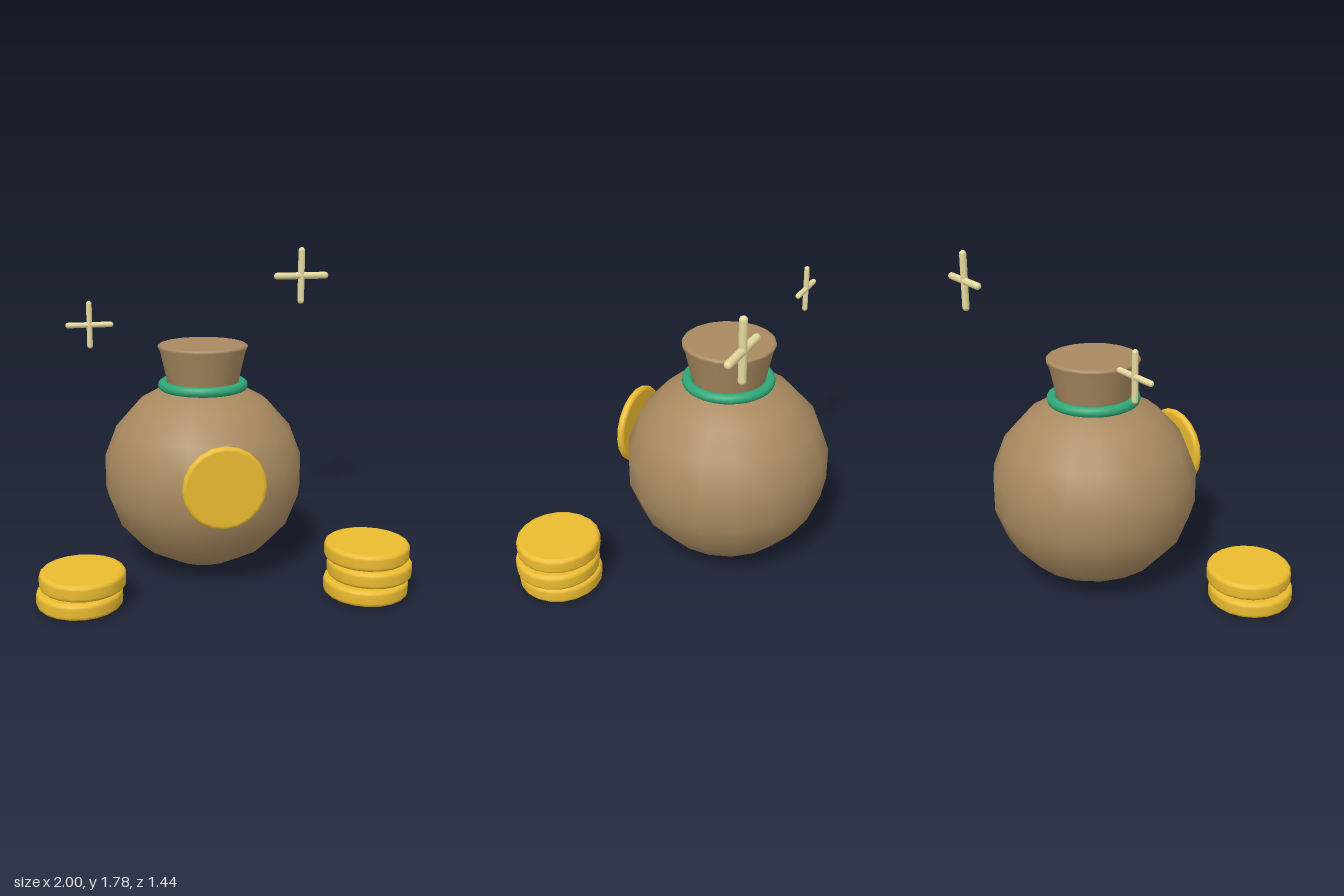
import * as THREE from 'three';

const material = (color) => new THREE.MeshStandardMaterial({ color });
const cloth = material(0xa98a60);
const ribbon = material(0x2fa878);
const gold = material(0xeabb30);
const glow = material(0xe8dca0);

function add(parent, name, geometry, mat, x = 0, y = 0, z = 0) {
  const mesh = new THREE.Mesh(geometry, mat);
  mesh.name = name;
  mesh.position.set(x, y, z);
  parent.add(mesh);
  return mesh;
}

const lathe = (points, sides) =>
  new THREE.LatheGeometry(points.map(([r, y]) => new THREE.Vector2(r, y)), sides);

// Disc with a rounded rim, centred on its own middle
function coinGeometry(radius, thickness, bevel) {
  const h = thickness / 2;
  const points = [[0, -h], [radius - bevel * 1.1, -h]];
  for (const side of [-1, 1]) {
    for (let i = 0; i <= 3; i++) {
      const a = (side < 0 ? i - 3 : i) * Math.PI / 6;
      points.push([radius - bevel + Math.cos(a) * bevel, side * (h - bevel) + Math.sin(a) * bevel]);
    }
  }
  points.push([radius - bevel * 1.1, h], [0, h]);
  return lathe(points, 20);
}

// Pile of coins, alternately shifted sideways
function coinStack(name, z, xs) {
  const stack = new THREE.Group();
  stack.name = name;
  const geometry = coinGeometry(0.228, 0.088, 0.022);
  xs.forEach((x, i) => add(stack, 'coin' + (i + 1), geometry, gold, x, 0.06 + i * 0.099, z));
  return stack;
}

// Two crossed rods with round ends
function sparkle(name, half, radius, x, y, z) {
  const group = new THREE.Group();
  group.name = name;
  group.position.set(x, y, z);
  const rod = new THREE.CapsuleGeometry(radius, 2 * (half - radius), 4, 8);
  add(group, 'uprightRod', rod, glow);
  add(group, 'crossRod', rod, glow).rotation.z = Math.PI / 2;
  return group;
}

export function createModel() {
  const model = new THREE.Group();
  model.name = 'moneyBag';

  // Bag
  const bag = new THREE.Group();
  bag.name = 'bag';
  bag.position.set(-0.01, 0, -0.16);
  model.add(bag);

  const body = new THREE.SphereGeometry(0.57, 18, 9);
  body.rotateY(Math.PI / 2);
  body.scale(1, 0.95, 1);
  add(bag, 'sack', body, cloth, 0, 0.549, 0);

  const neck = [[0.185, 1.0], [0.24, 1.245], [0.254, 1.272], [0.251, 1.283], [0.24, 1.288], [0.235, 1.288], [0, 1.288]];
  add(bag, 'neck', lathe(neck, 18), cloth);

  const tie = new THREE.TorusGeometry(0.225, 0.029, 10, 36);
  tie.rotateX(Math.PI / 2);
  add(bag, 'tie', tie, ribbon, 0, 1.057, 0);

  // Round badge on the front of the sack
  const badge = coinGeometry(0.226, 0.042, 0.018);
  badge.rotateX(Math.PI / 2);
  add(model, 'frontCoin', badge, gold, -0.01, 0.625, 0.413);

  // Loose coins
  model.add(coinStack('rightCoinStack', 0.335, [-0.772, -0.754]));
  model.add(coinStack('leftCoinStack', 0.493, [0.754, 0.772, 0.754]));

  // Floating sparkles
  model.add(sparkle('leftSparkle', 0.17, 0.021, 0.673, 1.615, -0.54));
  model.add(sparkle('rightSparkle', 0.135, 0.016, -0.623, 1.385, -0.35));

  return model;
}
